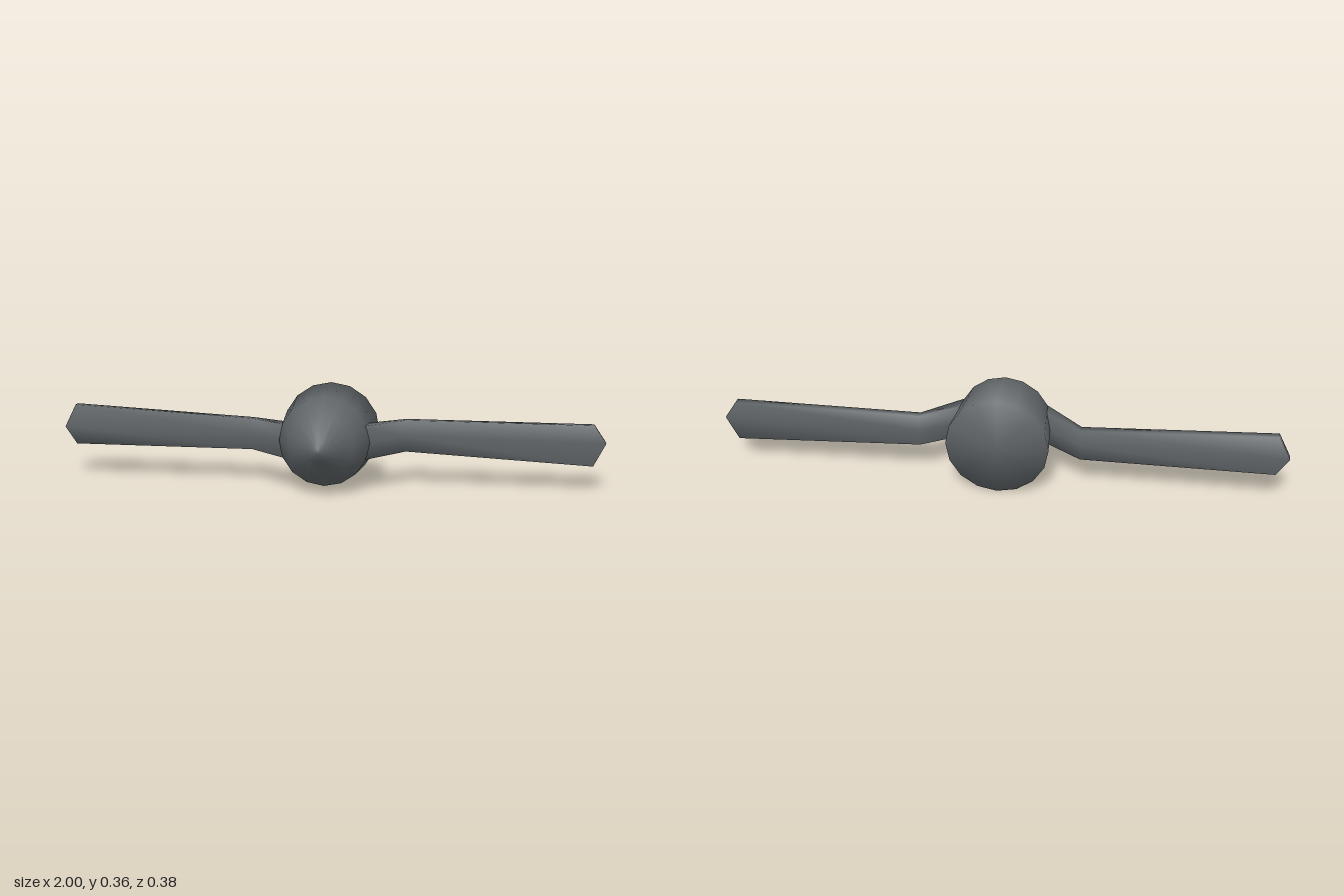
import * as THREE from 'three';

// Six-sided blade cross-sections [x, zBack, zFront, top, bottom], lofted from root to tip
function bladeGeometry() {
  const sections = [
    [0.12, -0.014, 0.048, 0.062, -0.062],
    [0.285, -0.128, -0.1, 0.062, -0.054],
    [0.957, -0.128, -0.1, 0.06, -0.089],
  ];
  const pos = [], index = [];
  sections.forEach(([x, back, front, top, bottom], i) => {
    const mid = (top + bottom) / 2;
    const tipX = i === 2 ? 1 : x; // pointed end
    const midY = i === 2 ? -0.004 : mid;
    pos.push(
      x, top, back, x, top, front, tipX, midY, front,
      x, bottom, front, x, bottom, back, tipX, midY, back,
    );
  });
  for (let i = 0; i < 2; i++) {
    for (let j = 0; j < 6; j++) {
      const a = i * 6 + j, b = i * 6 + (j + 1) % 6;
      index.push(a, b, b + 6, a, b + 6, a + 6);
    }
  }
  // tip faces
  index.push(12, 13, 14, 12, 14, 17, 17, 14, 15, 17, 15, 16);
  const g = new THREE.BufferGeometry();
  g.setAttribute('position', new THREE.Float32BufferAttribute(pos, 3));
  g.setIndex(index);
  g.computeVertexNormals();
  return g;
}

export function createModel() {
  const model = new THREE.Group();
  model.name = 'propeller';
  const darkGrey = new THREE.MeshStandardMaterial({ color: 0x5f6467 });
  darkGrey.name = 'dark grey';

  const rotor = new THREE.Group();
  rotor.name = 'rotor';
  rotor.position.y = 0.182;
  model.add(rotor);

  // Nose cone with closed back, turned to face +z
  const profile = [
    [0, -0.19], [0.181, -0.19], [0.163, 0.018], [0.118, 0.095],
    [0.037, 0.174], [0.008, 0.19], [0, 0.19],
  ].map(([r, y]) => new THREE.Vector2(r, y));
  const spinner = new THREE.Mesh(new THREE.LatheGeometry(profile, 16).rotateX(Math.PI / 2), darkGrey);
  spinner.name = 'spinner';
  rotor.add(spinner);

  // Two blades, half a turn apart
  const geometry = bladeGeometry();
  ['leftBlade', 'rightBlade'].forEach((name, i) => {
    const blade = new THREE.Mesh(geometry, darkGrey);
    blade.name = name;
    blade.rotation.z = i * Math.PI;
    rotor.add(blade);
  });
  return model;
}
